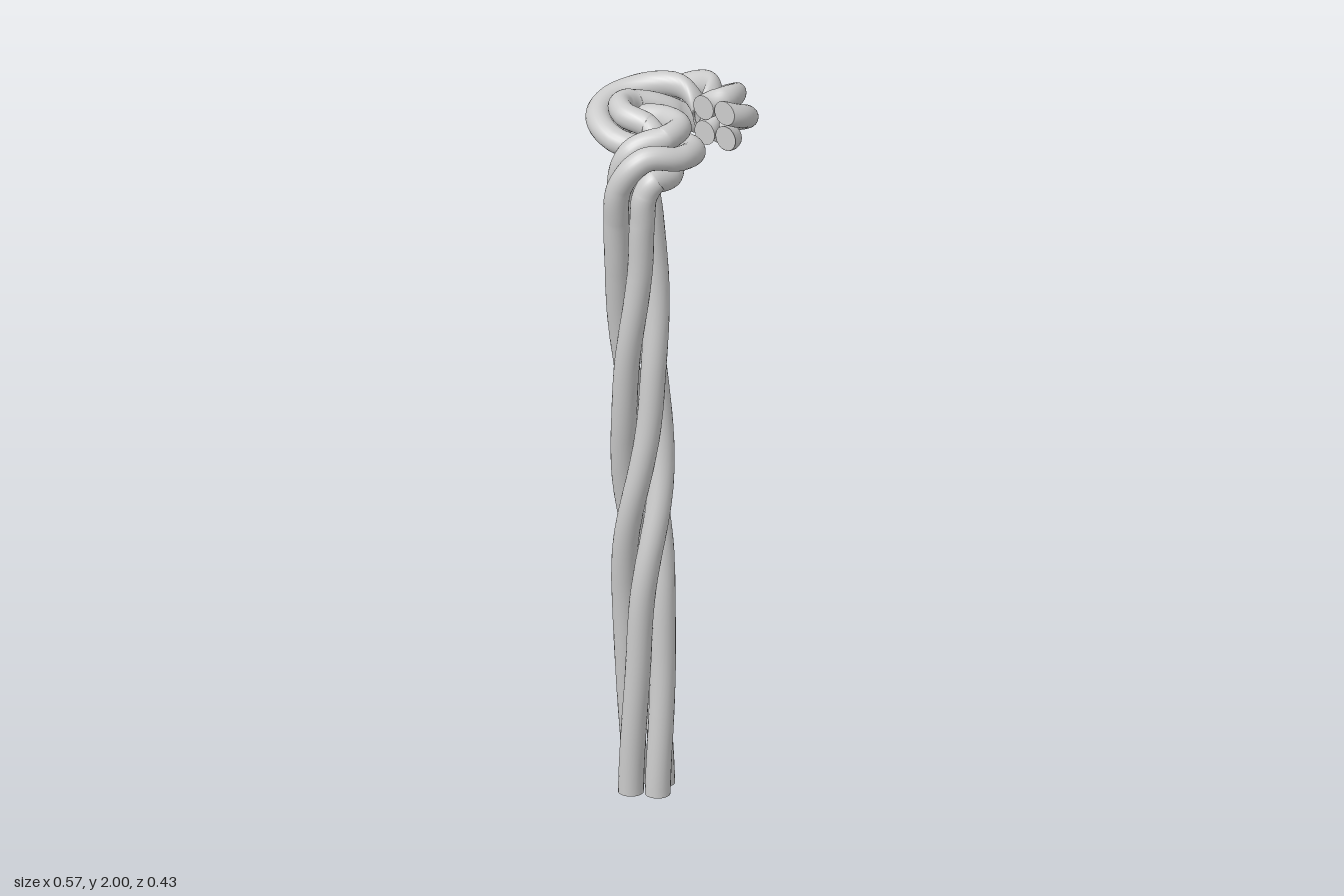
import * as THREE from 'three';

// Rope centre line, bottom to loose end: x, y, z, twist in degrees
const PATH = [
  [-0.125, 0, 0.07, -16], [-0.13, 0.35, 0.07, 14], [-0.14, 0.65, 0.07, 45],
  [-0.143, 1.03, 0.07, 135], [-0.157, 1.3, 0.07, 180], [-0.17, 1.55, 0.072, 225],
  [-0.187, 1.72, 0.074, 245], [-0.197, 1.82, 0.08, 260], [-0.18, 1.88, 0.105, 275],
  [-0.115, 1.89, 0.13, 310], [-0.045, 1.892, 0.1, 340], [-0.03, 1.897, 0.03, 370],
  [-0.055, 1.9, -0.05, 400], [-0.03, 1.9, -0.11, 430], [0.03, 1.9, -0.133, 455],
  [0.11, 1.905, -0.1, 485], [0.175, 1.91, -0.04, 530], [0.2, 1.91, 0.04, 600],
  [0.18, 1.91, 0.1, 660], [0.145, 1.912, 0.125, 700], [0.1, 1.914, 0.125, 730],
];
const STRANDS = 4, OFFSET = 0.052, RADIUS = 0.035, SIDES = 20;
const STEPS = (PATH.length - 1) * 14;

// Frames carried along the centre line without spin, plus the twist angle
function ropeFrames() {
  const line = new THREE.CatmullRomCurve3(PATH.map(([x, y, z]) => new THREE.Vector3(x, y, z)));
  const twist = new THREE.SplineCurve(PATH.map((p, i) => new THREE.Vector2(i, THREE.MathUtils.degToRad(p[3]))));
  const frames = [];
  const turn = new THREE.Quaternion();
  let lastTangent = new THREE.Vector3(0, 1, 0);
  const normal = new THREE.Vector3(0, 0, 1);
  for (let i = 0; i <= STEPS; i++) {
    const u = i / STEPS;
    // both ends are cut square to the axes
    const tangent = i === 0 ? lastTangent.clone()
      : i === STEPS ? new THREE.Vector3(-1, 0, 0) : line.getTangent(u);
    normal.applyQuaternion(turn.setFromUnitVectors(lastTangent, tangent));
    frames.push({
      centre: line.getPoint(u),
      n: normal.clone(),
      b: new THREE.Vector3().crossVectors(tangent, normal),
      angle: twist.getPoint(u).y,
    });
    lastTangent = tangent;
  }
  return frames;
}

// One round strand winding about the rope's centre line, with flat ends
function strandGeometry(frames, phase) {
  const positions = [], index = [];
  const place = (f, p, q) => {
    const v = f.centre.clone().addScaledVector(f.n, p).addScaledVector(f.b, q);
    positions.push(v.x, v.y, v.z);
  };
  const ring = (f) => {
    const a = f.angle + phase;
    for (let j = 0; j < SIDES; j++) {
      const s = a + (j / SIDES) * Math.PI * 2;
      place(f, OFFSET * Math.cos(a) + RADIUS * Math.cos(s), OFFSET * Math.sin(a) + RADIUS * Math.sin(s));
    }
  };
  frames.forEach(ring);
  for (let i = 0; i < STEPS; i++) {
    for (let j = 0; j < SIDES; j++) {
      const k = (j + 1) % SIDES;
      const a = i * SIDES + j, b = i * SIDES + k;
      index.push(a, b, a + SIDES, b, b + SIDES, a + SIDES);
    }
  }
  // end caps
  for (const [f, flip] of [[frames[0], true], [frames[STEPS], false]]) {
    const base = positions.length / 3;
    ring(f);
    const a = f.angle + phase;
    place(f, OFFSET * Math.cos(a), OFFSET * Math.sin(a));
    for (let j = 0; j < SIDES; j++) {
      const p = base + j, q = base + ((j + 1) % SIDES);
      index.push(base + SIDES, flip ? q : p, flip ? p : q);
    }
  }
  const geometry = new THREE.BufferGeometry();
  geometry.setAttribute('position', new THREE.Float32BufferAttribute(positions, 3));
  geometry.setIndex(index);
  geometry.computeVertexNormals();
  return geometry;
}

export function createModel() {
  const group = new THREE.Group();
  group.name = 'twistedRope';
  const material = new THREE.MeshStandardMaterial({ color: 0xcccccc, side: THREE.DoubleSide });
  const frames = ropeFrames();
  for (let i = 0; i < STRANDS; i++) {
    const strand = new THREE.Mesh(strandGeometry(frames, (i / STRANDS) * Math.PI * 2), material);
    strand.name = `strand${i + 1}`;
    group.add(strand);
  }
  return group;
}
